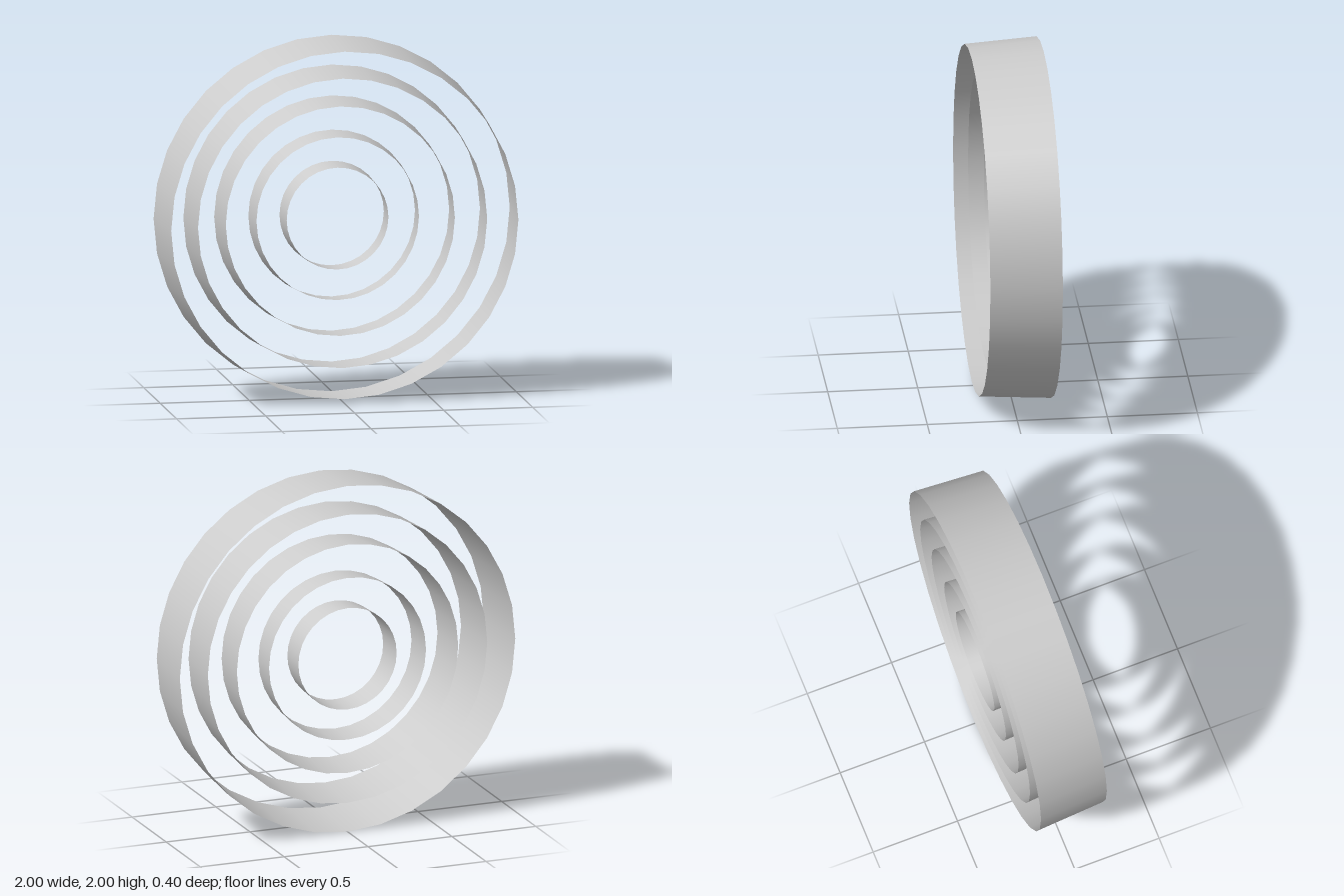
import * as THREE from 'three';

export function createModel() {
  const model = new THREE.Group();
  model.name = 'concentricRings';
  const grey = new THREE.MeshStandardMaterial({ color: 0xcccccc, side: THREE.DoubleSide });
  grey.name = 'light grey';

  const back = -0.2;   // all rings share the same rear plane
  const taper = 0.975; // each ring narrows slightly toward the front

  // [name, rear radius, depth]
  const rings = [
    ['outerRing', 1.0, 0.4],
    ['secondRing', 0.833, 0.334],
    ['middleRing', 0.66, 0.264],
    ['fourthRing', 0.468, 0.185],
    ['innerRing', 0.293, 0.18],
  ];

  for (const [name, radius, depth] of rings) {
    // open thin band with its axis along z
    const band = new THREE.CylinderGeometry(radius * taper, radius, depth, 32, 1, true);
    band.rotateX(Math.PI / 2);
    const mesh = new THREE.Mesh(band, grey);
    mesh.name = name;
    mesh.position.set(0, 1, back + depth / 2);
    model.add(mesh);
  }
  return model;
}
